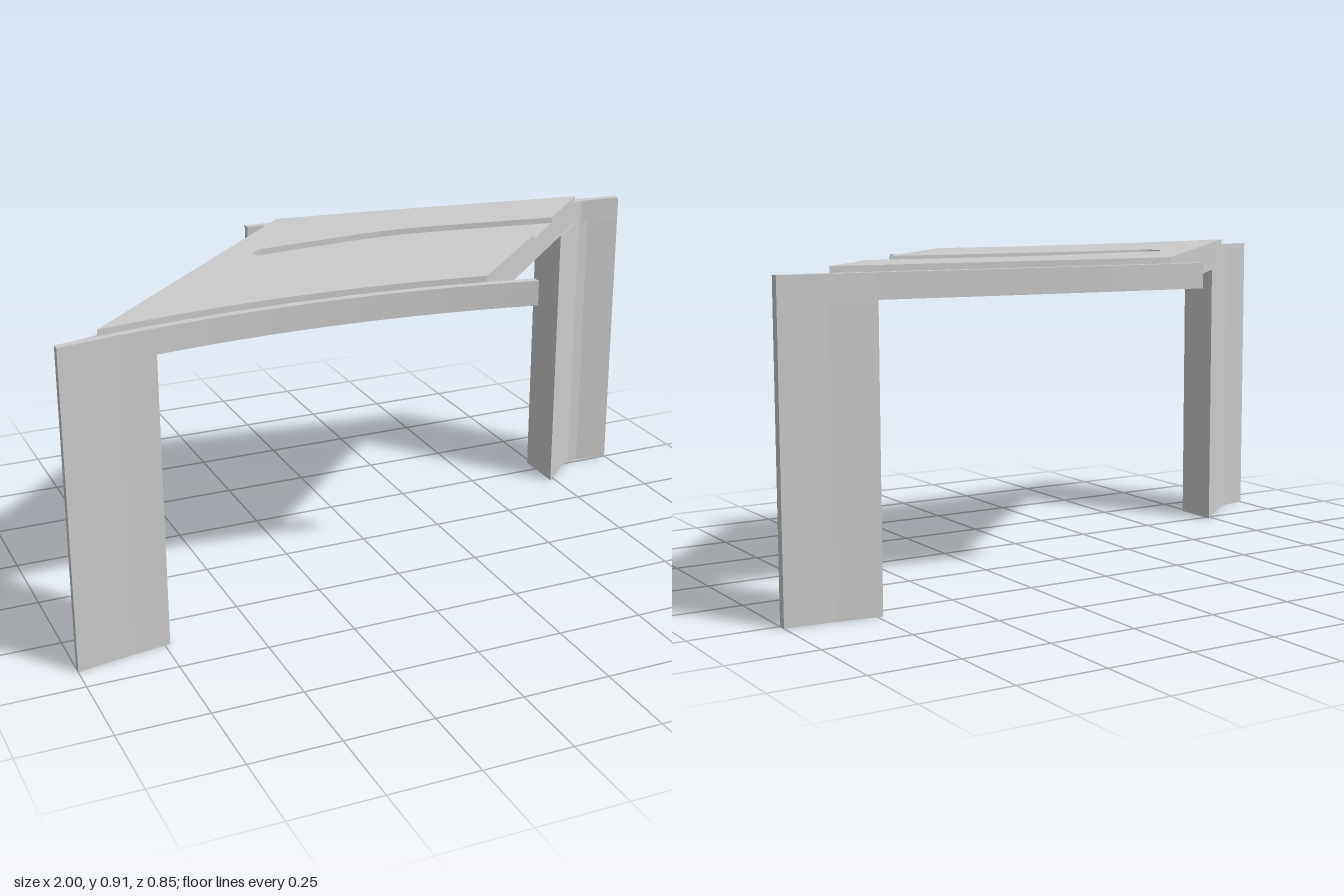
import * as THREE from 'three';

// Smooth plan curve through [x, z] points
const curve = (pts, n = 16) =>
  new THREE.SplineCurve(pts.map(([x, z]) => new THREE.Vector2(x, z))).getPoints(n).map(p => [p.x, p.y]);

// Part of the parabola through the arch crown, from x0 to x1
const arch = (x0, x1, crown, rise, n = 16) =>
  Array.from({ length: n + 1 }, (_, i) => {
    const x = x0 + (x1 - x0) * i / n;
    return [x, crown + rise * ((x + 0.333) / 0.666) ** 2];
  });

// Extrude a plan outline of [x, z] points between two heights
function slab(name, outline, y0, y1) {
  const shape = new THREE.Shape(outline.map(([x, z]) => new THREE.Vector2(x, -z)));
  const geo = new THREE.ExtrudeGeometry(shape, { depth: y1 - y0, bevelEnabled: false });
  geo.rotateX(-Math.PI / 2).translate(0, y0, 0);
  const mesh = new THREE.Mesh(geo, new THREE.MeshStandardMaterial({ color: 0xcccccc, flatShading: true }));
  mesh.name = name;
  return mesh;
}

export function createModel() {
  const group = new THREE.Group();
  group.name = 'skewBridge';
  const UNDER = 0.825, RAIL = 0.895, TOP = 0.912;

  // Plan curves of the two rails
  const frontOuter = (a, b) => arch(a, b, 0.35, 0.07);
  const frontInner = (a, b) => arch(a, b, 0.325, 0.072);
  const backOuter = curve([[-0.2, -0.428], [0, -0.409], [0.4, -0.355], [0.735, -0.305], [1, -0.275]]);
  const backInner = curve([[-0.2, -0.405], [-0.11, -0.397], [0.2, -0.36], [0.6, -0.301], [0.85, -0.265], [1, -0.25]]);
  const backDeck = curve([[-0.11, -0.397], [0.2, -0.36], [0.6, -0.301], [0.85, -0.265]]);

  // Skewed deck: full lower plate
  const frontDeck = frontInner(-0.885, 0.2);
  group.add(slab('deckBase', [...frontDeck, ...[...backDeck].reverse()], UNDER, RAIL));

  // Top plate, cut by a round-ended slot open at the right edge
  const slotFront = curve([[0.515, 0.068], [0.25, 0.025], [0, -0.011], [-0.25, -0.03]], 12);
  const slotEnd = Array.from({ length: 9 }, (_, i) => {
    const a = Math.PI * (i + 1) / 10;
    return [-0.25 - 0.052 * Math.sin(a), -0.074 + 0.044 * Math.cos(a)];
  });
  const slotBack = curve([[-0.25, -0.118], [-0.05, -0.135], [0.12, -0.146], [0.3, -0.131], [0.656, -0.074]], 14);
  group.add(slab('deckTop',
    [...frontDeck, ...slotFront, ...slotEnd, ...slotBack, ...[...backDeck].reverse()], RAIL, TOP));

  // Edge rails
  group.add(slab('frontRail', [...frontOuter(-1, 0.333), ...frontInner(-1, 0.333).reverse()], UNDER, RAIL));
  group.add(slab('backRail', [...backInner, ...[...backOuter].reverse()], UNDER, RAIL));

  // Legs: wedge under the deck corner, blended into a thin wing under the rail
  group.add(slab('frontLeg', [
    ...frontOuter(-1, -0.735), [-0.735, 0.23], [-0.86, 0.345],
    [-0.885, 0.365], [-0.915, 0.381], [-0.955, 0.389], [-1, 0.397]
  ], 0, UNDER));
  group.add(slab('backLeg', [
    [1, -0.275], [0.865, -0.287], [0.735, -0.305], [0.735, -0.15], [0.835, -0.243],
    [0.865, -0.261], [0.9, -0.265], [0.94, -0.259], [1, -0.25]
  ], 0, UNDER));

  // Fillets joining deck corners to the rail ends
  group.add(slab('frontFillet', [[-0.955, 0.389], [-0.885, 0.37], [-0.85, 0.345], [-0.885, 0.365], [-0.915, 0.381]], UNDER, RAIL));
  group.add(slab('backFillet', [[0.94, -0.259], [0.85, -0.268], [0.82, -0.24], [0.865, -0.261], [0.9, -0.265]], UNDER, RAIL));
  return group;
}
